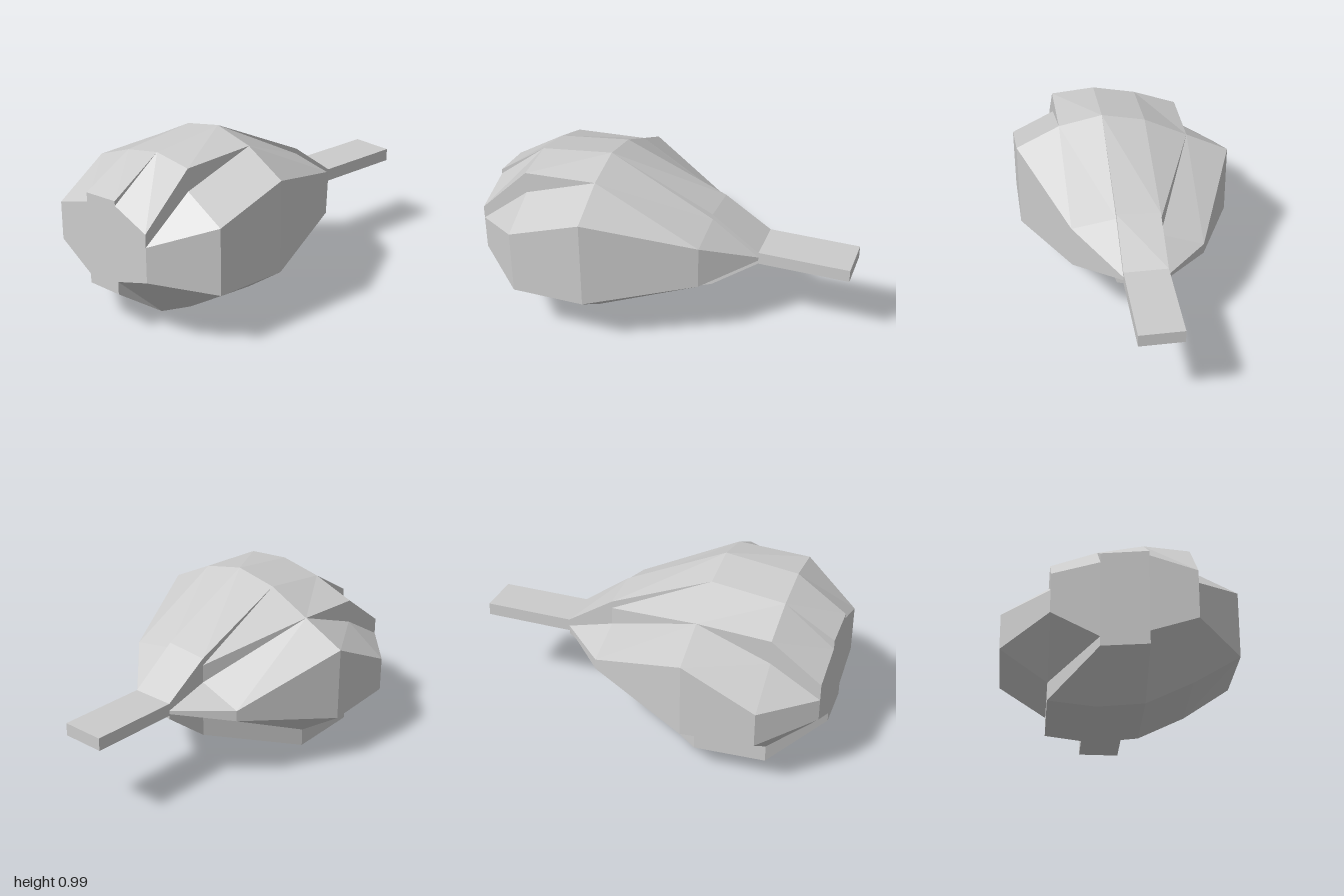
import * as THREE from 'three';

const material = new THREE.MeshStandardMaterial({ color: 0xcccccc, flatShading: true });

// Depths of the cross-sections, front to back
const DEPTHS = [1, 0.73, 0.33, -0.24, -0.5];

// Closed faceted lobe; each row is [x0, x1, bottom0, bottom1, top0, top1] with x0 <= x1
function lobe(name, rows) {
  const positions = [];
  const index = [];
  rows.forEach(([x0, x1, b0, b1, t0, t1], i) => {
    const z = DEPTHS[i];
    positions.push(x0, b0, z, x1, b1, z, x1, t1, z, x0, t0, z);
  });
  const quad = (a, b, c, d) => index.push(a, b, c, a, c, d);
  quad(0, 1, 2, 3);
  for (let i = 0; i < rows.length - 1; i++) {
    for (let k = 0; k < 4; k++) {
      const a = i * 4 + k;
      const b = i * 4 + ((k + 1) % 4);
      // The top faces fold along the other diagonal
      if (k === 2) quad(a, a + 4, b + 4, b);
      else quad(b, a, a + 4, b + 4);
    }
  }
  const e = (rows.length - 1) * 4;
  quad(e + 3, e + 2, e + 1, e);
  const geometry = new THREE.BufferGeometry();
  geometry.setAttribute('position', new THREE.Float32BufferAttribute(positions, 3));
  geometry.setIndex(index);
  const flat = geometry.toNonIndexed();
  flat.computeVertexNormals();
  const mesh = new THREE.Mesh(flat, material);
  mesh.name = name;
  return mesh;
}

export function createModel() {
  const model = new THREE.Group();
  model.name = 'lobedBulb';

  // Central lobe, running straight into the stem
  model.add(lobe('centreLobe', [
    [-0.12, 0.12, 0.22, 0.24, 0.725, 0.75],
    [-0.12, 0.12, 0.025, 0.05, 0.89, 0.94],
    [-0.12, 0.12, 0, 0.03, 0.94, 0.99],
    [-0.12, 0.12, 0.24, 0.26, 0.7, 0.72],
    [-0.12, 0.12, 0.44, 0.46, 0.53, 0.53],
  ]));

  // Left lobes (+x)
  model.add(lobe('leftInnerLobe', [
    [0.12, 0.36, 0.31, 0.39, 0.725, 0.65],
    [0.12, 0.36, 0.05, 0.17, 0.94, 0.92],
    [0.12, 0.36, 0.03, 0.15, 0.99, 0.94],
    [0.12, 0.36, 0.31, 0.41, 0.69, 0.65],
    [0.12, 0.12, 0.48, 0.48, 0.5, 0.49],
  ]));
  model.add(lobe('leftOuterLobe', [
    [0.36, 0.36, 0.39, 0.39, 0.65, 0.58],
    [0.36, 0.6, 0.17, 0.32, 0.8, 0.68],
    [0.36, 0.6, 0.15, 0.32, 0.94, 0.82],
    [0.36, 0.36, 0.41, 0.41, 0.65, 0.65],
  ]));

  // Right lobes (-x); the inner one narrows to an edge at the back
  model.add(lobe('rightInnerLobe', [
    [-0.36, -0.12, 0.39, 0.27, 0.6, 0.675],
    [-0.36, -0.12, 0.145, 0.1, 0.8, 0.89],
    [-0.36, -0.12, 0.13, 0.05, 0.82, 0.94],
    [-0.12, -0.12, 0.4, 0.4, 0.66, 0.66],
  ]));
  model.add(lobe('rightOuterLobe', [
    [-0.36, -0.36, 0.39, 0.39, 0.51, 0.51],
    [-0.6, -0.36, 0.32, 0.145, 0.51, 0.67],
    [-0.6, -0.36, 0.29, 0.13, 0.7, 0.82],
    [-0.36, -0.12, 0.41, 0.4, 0.47, 0.56],
    [-0.12, -0.12, 0.47, 0.47, 0.49, 0.49],
  ]));

  // Underside lobe, narrowing to a point at the front and an edge at the back
  model.add(lobe('rightLowerLobe', [
    [-0.12, -0.12, 0.22, 0.22, 0.29, 0.29],
    [-0.36, -0.12, 0.05, 0.025, 0.145, 0.3],
    [-0.36, -0.12, 0.03, 0, 0.13, 0.3],
    [-0.12, -0.12, 0.24, 0.24, 0.4, 0.4],
  ]));

  // Stem
  const stem = new THREE.Mesh(new THREE.BoxGeometry(0.24, 0.07, 0.5), material);
  stem.name = 'stem';
  stem.position.set(0, 0.495, -0.75);
  model.add(stem);

  return model;
}
